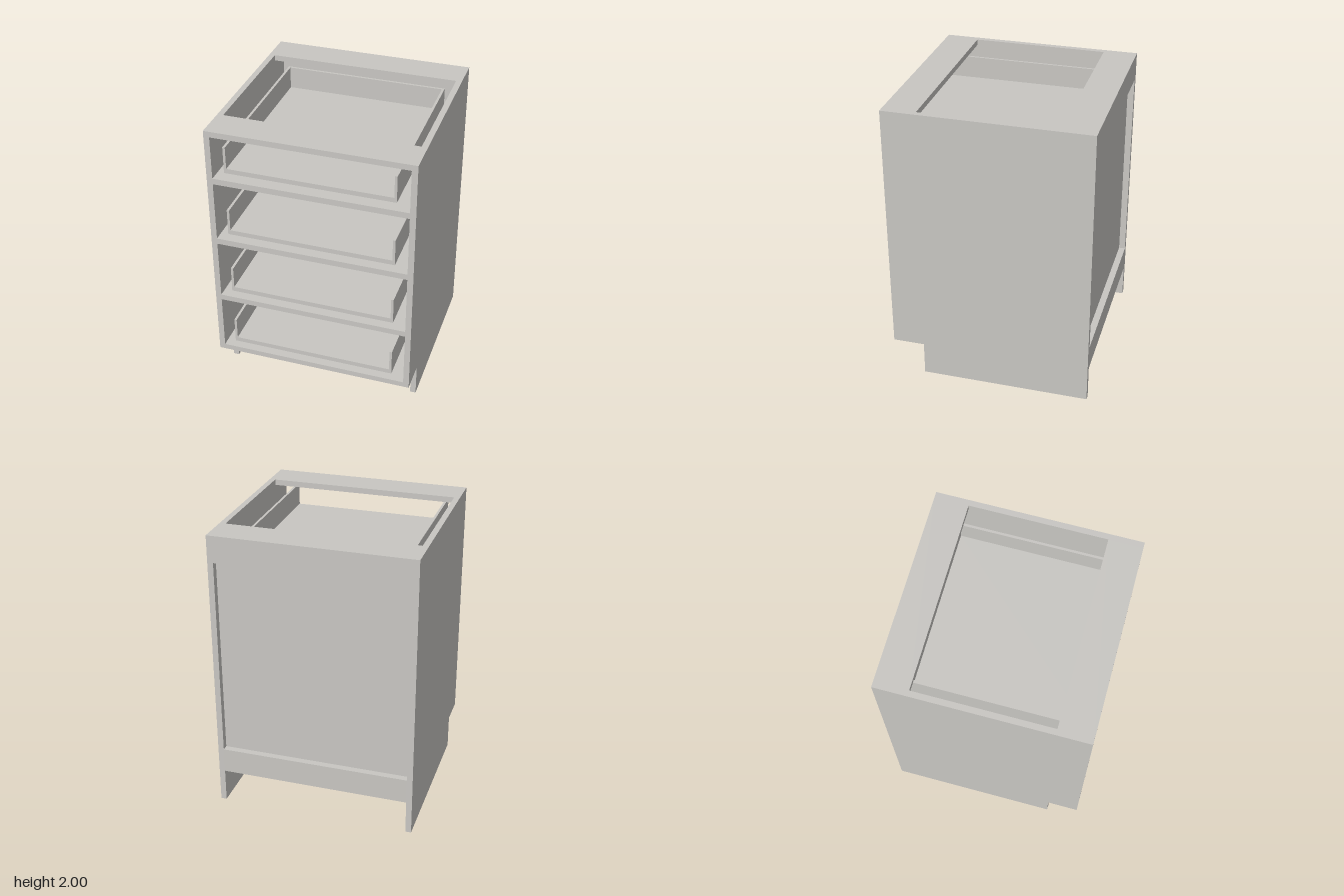
import * as THREE from 'three';

export function createModel() {
  const cabinet = new THREE.Group();
  cabinet.name = 'drawerCabinet';
  const paint = new THREE.MeshStandardMaterial({ color: 0xc8c6c2 });
  paint.name = 'warmGrey';

  // Box panel given by its minimum and maximum corners
  function panel(name, [x0, y0, z0], [x1, y1, z1], parent = cabinet) {
    const mesh = new THREE.Mesh(new THREE.BoxGeometry(x1 - x0, y1 - y0, z1 - z0), paint);
    mesh.position.set((x0 + x1) / 2, (y0 + y1) / 2, (z0 + z1) / 2);
    mesh.name = name;
    parent.add(mesh);
    return mesh;
  }

  const W = 0.695;   // half width and half depth
  const I = 0.655;   // inner half width
  const T = W - I;   // board thickness
  const R = 0.465;   // inner edge of the stretchers

  // Side panels, notched at the front for the toe space
  const side = new THREE.Shape([
    [-W, 0], [0.475, 0], [0.475, 0.238], [W, 0.238], [W, 2], [-W, 2],
  ].map(([z, y]) => new THREE.Vector2(-z, y)));
  const sideGeometry = new THREE.ExtrudeGeometry(side, { depth: T, bevelEnabled: false });
  sideGeometry.rotateY(Math.PI / 2);
  for (const [name, x] of [['leftSide', I], ['rightSide', -W]]) {
    const mesh = new THREE.Mesh(sideGeometry, paint);
    mesh.position.x = x;
    mesh.name = name;
    cabinet.add(mesh);
  }

  // Floor, top stretchers and the dividers between the drawers
  panel('floor', [-I, 0.238, -W], [I, 0.277, W]);
  panel('frontTopStretcher', [-I, 1.96, R], [I, 2, W]);
  panel('backTopStretcher', [-I, 1.96, -W], [I, 2, -R]);
  for (const [y0, y1] of [[0.68, 0.72], [1.148, 1.19], [1.615, 1.657]]) {
    panel('drawerDivider', [-I, y0, R], [I, y1, W]);
  }

  // Back rails with the recessed back panel behind them
  panel('upperBackRail', [-I, 1.815, -W], [I, 1.96, -0.65]);
  panel('lowerBackRail', [-I, 0.277, -W], [I, 0.415, -0.65]);
  panel('backPanel', [-I, 0.277, -0.65], [I, 1.96, -0.635]);

  // Drawer boxes, open at the front
  [0.333, 0.776, 1.245, 1.716].forEach((y) => {
    const drawer = new THREE.Group();
    drawer.name = 'drawer';
    const out = 0.57, inn = 0.553, back = -0.515, top = y + 0.188, base = y + 0.033;
    panel('drawerFloor', [-out, y, back], [out, base, W], drawer);
    panel('drawerLeftWall', [inn, base, back], [out, top, W], drawer);
    panel('drawerRightWall', [-out, base, back], [-inn, top, W], drawer);
    panel('drawerBackWall', [-inn, base, back], [inn, top, back + 0.017], drawer);
    cabinet.add(drawer);
  });

  return cabinet;
}
